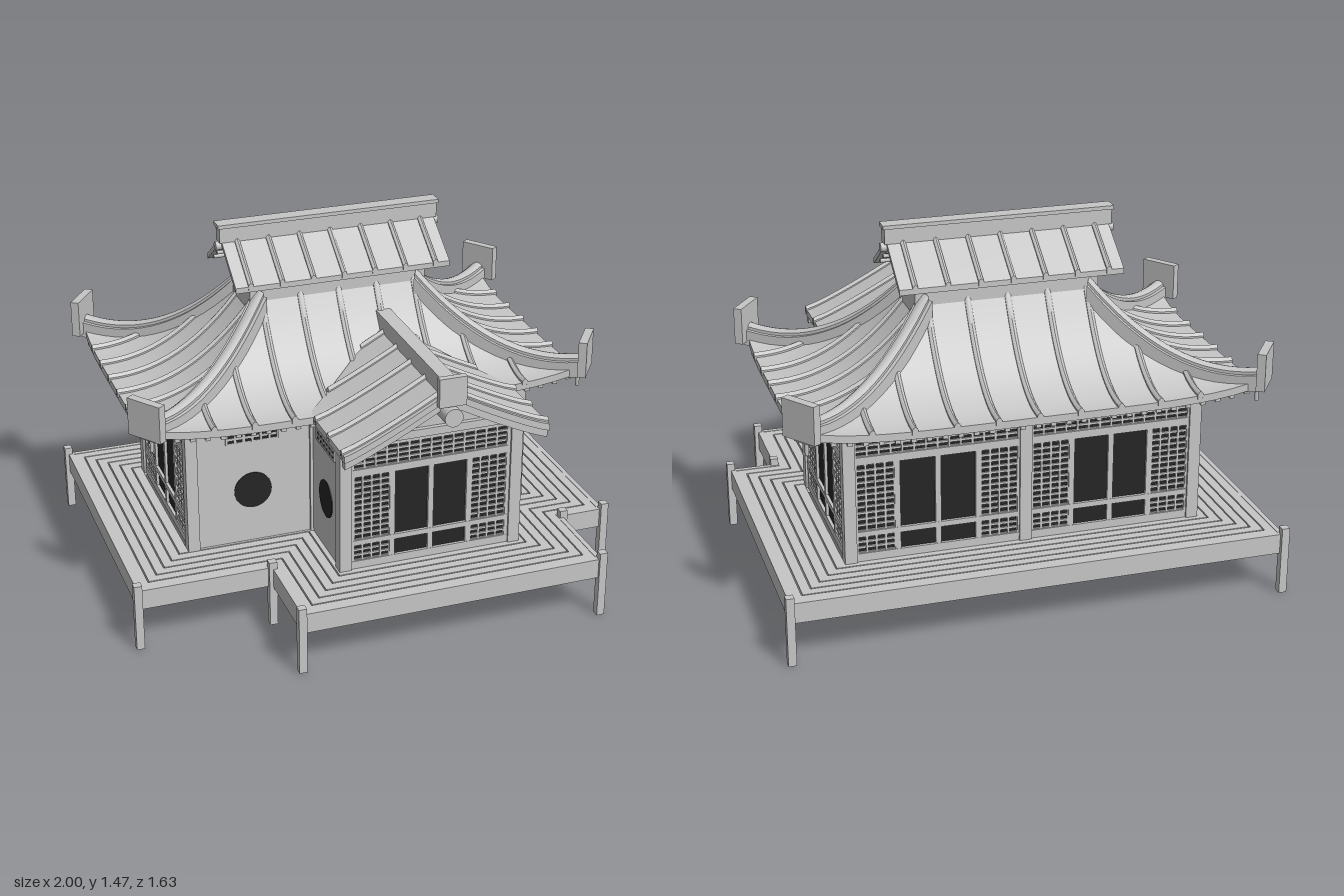
import * as THREE from 'three';
import { mergeGeometries, toCreasedNormals } from 'three/addons/utils/BufferGeometryUtils.js';

const wood = new THREE.MeshStandardMaterial({ color: 0xc6c6c6 });
wood.name = 'paleGrey';
const dark = new THREE.MeshStandardMaterial({ color: 0x252525 });
dark.name = 'darkOpening';

const ZC = -0.18;                                   // centre line of the main house
const WING = { x: 0.17, half: 0.415, front: 0.71 }; // front wing roof

function add(parent, name, geo, mat = wood) {
  const m = new THREE.Mesh(geo, mat);
  m.name = name;
  parent.add(m);
  return m;
}
function group(parent, name, x = 0, z = 0, ry = 0) {
  const g = new THREE.Group();
  g.name = name;
  g.position.set(x, 0, z);
  g.rotation.y = ry;
  parent.add(g);
  return g;
}
// box given by its two opposite corners
const box = (x0, x1, y0, y1, z0, z1) =>
  new THREE.BoxGeometry(x1 - x0, y1 - y0, z1 - z0).translate((x0 + x1) / 2, (y0 + y1) / 2, (z0 + z1) / 2);
const rod = (r, len, seg = 16) => new THREE.CylinderGeometry(r, r, len, seg);

// closed slab under a surface f(u, v) -> [x, y, z], t thick
function sheet(f, nu, nv, t) {
  const pos = [], idx = [], n = (nu + 1) * (nv + 1);
  const id = (i, j) => j * (nu + 1) + i;
  for (const d of [0, t])
    for (let j = 0; j <= nv; j++) for (let i = 0; i <= nu; i++) {
      const p = f(i / nu, j / nv);
      pos.push(p[0], p[1] - d, p[2]);
    }
  for (let j = 0; j < nv; j++) for (let i = 0; i < nu; i++) {
    const a = id(i, j), b = id(i, j + 1), c = id(i + 1, j), d = id(i + 1, j + 1);
    idx.push(a, b, c, c, b, d, a + n, c + n, b + n, c + n, d + n, b + n);
  }
  const rim = [];
  for (let j = 0; j < nv; j++) rim.push(id(0, j));
  for (let i = 0; i < nu; i++) rim.push(id(i, nv));
  for (let j = nv; j > 0; j--) rim.push(id(nu, j));
  for (let i = nu; i > 0; i--) rim.push(id(i, 0));
  rim.forEach((a, k) => {
    const b = rim[(k + 1) % rim.length];
    idx.push(a, a + n, b + n, a, b + n, b);
  });
  const g = new THREE.BufferGeometry();
  g.setAttribute('position', new THREE.Float32BufferAttribute(pos, 3));
  g.setIndex(idx);
  return toCreasedNormals(g, 0.6);
}
// bar swept along a path, w wide and h deep, optionally with a rounded top
function bar(path, w, h, steps = 12, round = 0) {
  const a = path(0), b = path(1), len = Math.hypot(b[0] - a[0], b[2] - a[2]);
  const sx = (b[2] - a[2]) / len, sz = -(b[0] - a[0]) / len;
  return sheet((u, v) => {
    const p = path(v), k = (u - 0.5) * w;
    return [p[0] + sx * k, p[1] + round * Math.sin(Math.PI * u), p[2] + sz * k];
  }, round ? 4 : 1, steps, h);
}

// height of the main roof at slope position s (0 top, 1 eave), a across the face
const roofY = (s, a) => 0.835 + 0.335 * Math.pow(Math.max(0, 1 - s), 2.2) + 0.05 * Math.abs(a) ** 5 * Math.max(0, s) ** 3;

// one curved roof face looking along +z, with ribs above and rafters below
function roofFace(root, name, ry, l0, l1, d0, d1, ribs) {
  const g = group(root, name, 0, ZC, ry);
  const len = s => l0 + (l1 - l0) * s, dep = s => d0 + (d1 - d0) * s;
  add(g, 'roofSheet', sheet((u, v) => [(2 * u - 1) * len(v), roofY(v, 2 * u - 1), dep(v)], 28, 16, 0.03));
  const line = (x, s0, s1, dy) => v => {
    const s = s0 + (s1 - s0) * v;
    return [x, roofY(s, x / len(s)) + dy, dep(s)];
  };
  const start = x => Math.max(0, (Math.abs(x) - l0) / (l1 - l0));
  add(g, 'roofRibs', mergeGeometries(ribs.map(x => bar(line(x, start(x), 1.01, 0.007), 0.024, 0.02, 14, 0.012))));
  const rafters = [], n = Math.floor((l1 - 0.06) / 0.06);
  for (let k = -n; k <= n; k++)
    rafters.push(bar(line(k * 0.06, Math.max(0.55, start(k * 0.06)), 0.96, -0.028), 0.02, 0.022, 5));
  add(g, 'eaveRafters', mergeGeometries(rafters));
}

// light lattice bars over a dark opening
function lattice(x0, x1, y0, y1, cols, rows) {
  const out = [], b = 0.0045;
  for (let i = 0; i <= cols; i++) {
    const x = x0 + (x1 - x0) * i / cols;
    out.push(box(x - b, x + b, y0, y1, -0.012, 0.012));
  }
  for (let j = 0; j <= rows; j++) {
    const y = y0 + (y1 - y0) * j / rows;
    out.push(box(x0, x1, y - b, y + b, -0.011, 0.011));
  }
  return out;
}

// sliding-door bay, 0.66 wide
function screenBay(root, name, x, z, ry) {
  const g = group(root, name, x, z, ry), w = 0.335;
  add(g, 'darkPanel', box(-w, w, 0.25, 0.79, -0.004, 0.004), dark);
  const f = [];
  for (const [y0, y1] of [[0.25, 0.283], [0.352, 0.374], [0.65, 0.682], [0.768, 0.8]])
    f.push(box(-w, w, y0, y1, -0.016, 0.016));
  for (const [c, top] of [[-0.327, 0.8], [0.327, 0.8], [-0.16, 0.66], [0.16, 0.66], [0, 0.66]])
    f.push(box(c - 0.011, c + 0.011, 0.25, top, -0.015, 0.015));
  f.push(...lattice(-0.32, 0.32, 0.682, 0.768, 14, 4));
  for (const s of [-1, 1]) {
    const a = Math.min(s * 0.17, s * 0.318), b = Math.max(s * 0.17, s * 0.318);
    f.push(...lattice(a, b, 0.374, 0.65, 4, 11), ...lattice(a, b, 0.283, 0.352, 4, 3));
  }
  add(g, 'screenFrame', mergeGeometries(f));
}

// plain wall with optional round window and small vent lattice
function plainWall(root, name, x, z, ry, w, windows) {
  const g = group(root, name, x, z, ry);
  add(g, 'wallPanel', box(-w / 2, w / 2, 0.25, 0.8, -0.012, 0.012));
  if (!windows) return;
  add(g, 'roundWindow', rod(0.077, 0.03, 40).rotateX(Math.PI / 2).translate(0, 0.475, 0), dark);
  add(g, 'ventOpening', box(-0.105, 0.105, 0.69, 0.755, -0.015, 0.015), dark);
  add(g, 'ventLattice', mergeGeometries(lattice(-0.105, 0.105, 0.69, 0.755, 6, 3)).scale(1, 1, 1.5));
}

// T-shaped deck outline, inset by d
function deckOutline(d, Kind) {
  const p = [[-0.985, -0.8], [0.985, -0.8], [0.985, 0.43], [0.8, 0.43], [0.8, 0.8], [-0.445, 0.8], [-0.445, 0.43], [-0.985, 0.43]];
  return new Kind(p.map(([x, z]) => new THREE.Vector2(x - Math.sign(x) * d, z - Math.sign(z) * d)));
}
function deckRing(d0, d1, y0, y1) {
  const s = deckOutline(d0, THREE.Shape);
  s.holes.push(deckOutline(d1, THREE.Path));
  return new THREE.ExtrudeGeometry(s, { depth: y1 - y0, bevelEnabled: false }).rotateX(Math.PI / 2).translate(0, y1, 0);
}
// triangular gable panel in the xy plane
function gable(half, y0, y1, depth) {
  const s = new THREE.Shape([new THREE.Vector2(-half, y0), new THREE.Vector2(half, y0), new THREE.Vector2(0, y1)]);
  return new THREE.ExtrudeGeometry(s, { depth, bevelEnabled: false }).translate(0, 0, -depth / 2);
}

export function createModel() {
  const root = new THREE.Group();
  root.name = 'teaHouse';

  // deck: fascia, concentric boards and posts
  const deck = group(root, 'deck');
  add(deck, 'deckFascia', deckRing(0, 0.02, 0.168, 0.25));
  for (let i = 0; i < 6; i++)
    add(deck, 'deckBoards', deckRing(0.02 + i * 0.042, 0.0565 + i * 0.042, 0.225, 0.248));
  for (const [x, z] of [[-0.985, -0.8], [0.985, -0.8], [-0.985, 0.43], [0.985, 0.43], [-0.445, 0.43], [0.8, 0.43], [-0.445, 0.795], [0.8, 0.795]])
    add(deck, 'deckPost', box(x - 0.016, x + 0.016, 0, 0.28, z - 0.016, z + 0.016));

  // walls
  const walls = group(root, 'walls');
  const H = Math.PI / 2;
  screenBay(walls, 'wingFrontScreen', 0.17, 0.53, 0);
  screenBay(walls, 'leftScreen', 0.695, -0.175, H);
  screenBay(walls, 'rightScreen', -0.695, -0.175, -H);
  for (const x of [-0.348, 0.348]) screenBay(walls, 'backScreen', x, -0.53, Math.PI);
  plainWall(walls, 'frontWall', -0.445, 0.18, 0, 0.5, true);
  plainWall(walls, 'frontWallShort', 0.61, 0.18, 0, 0.17, false);
  plainWall(walls, 'wingLeftWall', 0.525, 0.36, H, 0.34, true);
  plainWall(walls, 'wingRightWall', -0.185, 0.36, -H, 0.34, true);
  for (const [x, z] of [[-0.695, -0.53], [0, -0.53], [0.695, -0.53], [-0.695, 0.18], [0.695, 0.18], [-0.185, 0.18], [0.525, 0.18], [-0.185, 0.53], [0.525, 0.53]])
    add(walls, 'wallPost', box(x - 0.024, x + 0.024, 0.25, 0.8, z - 0.024, z + 0.024));
  const plates = [[-0.73, 0.73, -0.56, -0.5], [-0.73, -0.15, 0.15, 0.21], [0.49, 0.73, 0.15, 0.21], [-0.73, -0.665, -0.56, 0.21],
    [0.665, 0.73, -0.56, 0.21], [-0.21, -0.16, 0.2, 0.56], [0.5, 0.55, 0.2, 0.56], [-0.21, 0.55, 0.505, 0.56]];
  for (const [x0, x1, z0, z1] of plates) add(walls, 'wallPlate', box(x0, x1, 0.787, z1 > 0.5 ? 0.82 : 0.85, z0, z1));

  // main roof
  const roof = group(root, 'mainRoof');
  const longRibs = [-4, -3, -2, -1, 0, 1, 2, 3, 4].map(k => k * 0.16);
  const shortRibs = [-2.5, -1.5, -0.5, 0.5, 1.5, 2.5].map(k => k * 0.145);
  for (const [name, ry] of [['frontRoof', 0], ['backRoof', Math.PI]]) roofFace(roof, name, ry, 0.33, 0.9, 0.13, 0.535, longRibs);
  for (const [name, ry] of [['leftRoof', H], ['rightRoof', -H]]) roofFace(roof, name, ry, 0.13, 0.535, 0.33, 0.9, shortRibs);
  for (const sx of [-1, 1]) for (const sz of [-1, 1]) {
    const hip = dy => v => [sx * (0.33 + 0.57 * v), roofY(v, 1) + dy, ZC + sz * (0.13 + 0.405 * v)];
    add(roof, 'hipBeam', bar(hip(0.025), 0.075, 0.065, 20));
    add(roof, 'hipCap', bar(hip(0.037), 0.045, 0.02, 20, 0.01));
    const plate = add(roof, 'hipEndPlate', new THREE.BoxGeometry(0.155, 0.15, 0.034));
    plate.position.set(sx * 0.9, 0.935, ZC + sz * 0.537);
    plate.rotation.y = Math.atan2(sx * 0.57, sz * 0.405);
    add(roof, 'cornerPeg', rod(0.008, 0.07, 8)).position.set(sx * 0.88, 0.825, ZC + sz * 0.52);
  }

  // raised ridge house with its own small gable roof
  const top = group(root, 'ridgeRoof', 0, ZC);
  add(top, 'neck', box(-0.367, 0.367, 1.07, 1.26, -0.128, 0.128));
  add(top, 'neckPlate', box(-0.385, 0.385, 1.255, 1.28, -0.15, 0.15));
  add(top, 'ridgeGable', gable(0.135, 1.275, 1.385, 0.74).rotateY(H));
  const slopeY = v => 1.405 - 0.14 * v;
  for (const ry of [0, Math.PI]) {
    const side = group(top, 'ridgeSlope', 0, 0, ry);
    add(side, 'slopeSheet', sheet((u, v) => [(u - 0.5) * 0.89, slopeY(v), 0.2 * v], 1, 1, 0.022));
    for (let k = -3; k <= 3; k++)
      add(side, 'slopeRib', bar(v => [k * 0.128, slopeY(v) + 0.006, 0.203 * v], 0.02, 0.02, 1, 0.009));
    for (const v of [0.3, 0.55, 0.8])
      add(side, 'purlin', rod(0.009, 0.86, 8).rotateZ(H).translate(0, slopeY(v) - 0.028, 0.2 * v));
  }
  add(top, 'ridgeBeam', box(-0.455, 0.455, 1.39, 1.455, -0.026, 0.026));
  add(top, 'ridgeCap', box(-0.462, 0.462, 1.45, 1.465, -0.032, 0.032));
  add(top, 'ridgePole', rod(0.018, 0.935).rotateZ(H).translate(0, 1.372, 0));

  // gabled roof of the front wing
  const wing = group(root, 'wingRoof', WING.x);
  const wy = v => 0.835 + 0.2 * Math.pow(Math.max(0, 1 - v), 1.15);
  const backZ = v => -0.02 + 0.33 * v;
  for (const s of [-1, 1]) {
    add(wing, 'wingSheet', sheet((u, v) => {
      const k = s > 0 ? u : 1 - u;
      return [s * WING.half * v, wy(v), WING.front + (backZ(v) - WING.front) * k];
    }, 4, 10, 0.028));
    const across = (z, v0, v1, dy) => t => {
      const v = v0 + (v1 - v0) * t;
      return [s * WING.half * v, wy(v) + dy, z];
    };
    for (const z of [0.68, 0.53, 0.38, 0.23, 0.08])
      add(wing, 'wingRib', bar(across(z, 0, Math.min(1.01, (z + 0.02) / 0.33), 0.006), 0.024, 0.02, 8, 0.012));
    add(wing, 'bargeBoard', bar(across(0.685, 0, 0.99, -0.005), 0.03, 0.055, 8));
    for (let z = 0.36; z < 0.66; z += 0.06) add(wing, 'wingRafter', bar(across(z, 0.7, 0.97, -0.026), 0.02, 0.02, 3));
  }
  add(wing, 'wingGable', gable(0.37, 0.81, 1.005, 0.024).translate(0, 0, 0.53));
  add(wing, 'wingRidge', box(-0.03, 0.03, 1.0, 1.085, -0.03, 0.725));
  add(wing, 'wingRidgeEnd', box(-0.055, 0.055, 0.99, 1.107, 0.715, 0.742));
  add(wing, 'wingRidgePole', rod(0.037, 0.22, 24).rotateX(H).translate(0, 0.948, 0.645));
  return root;
}
